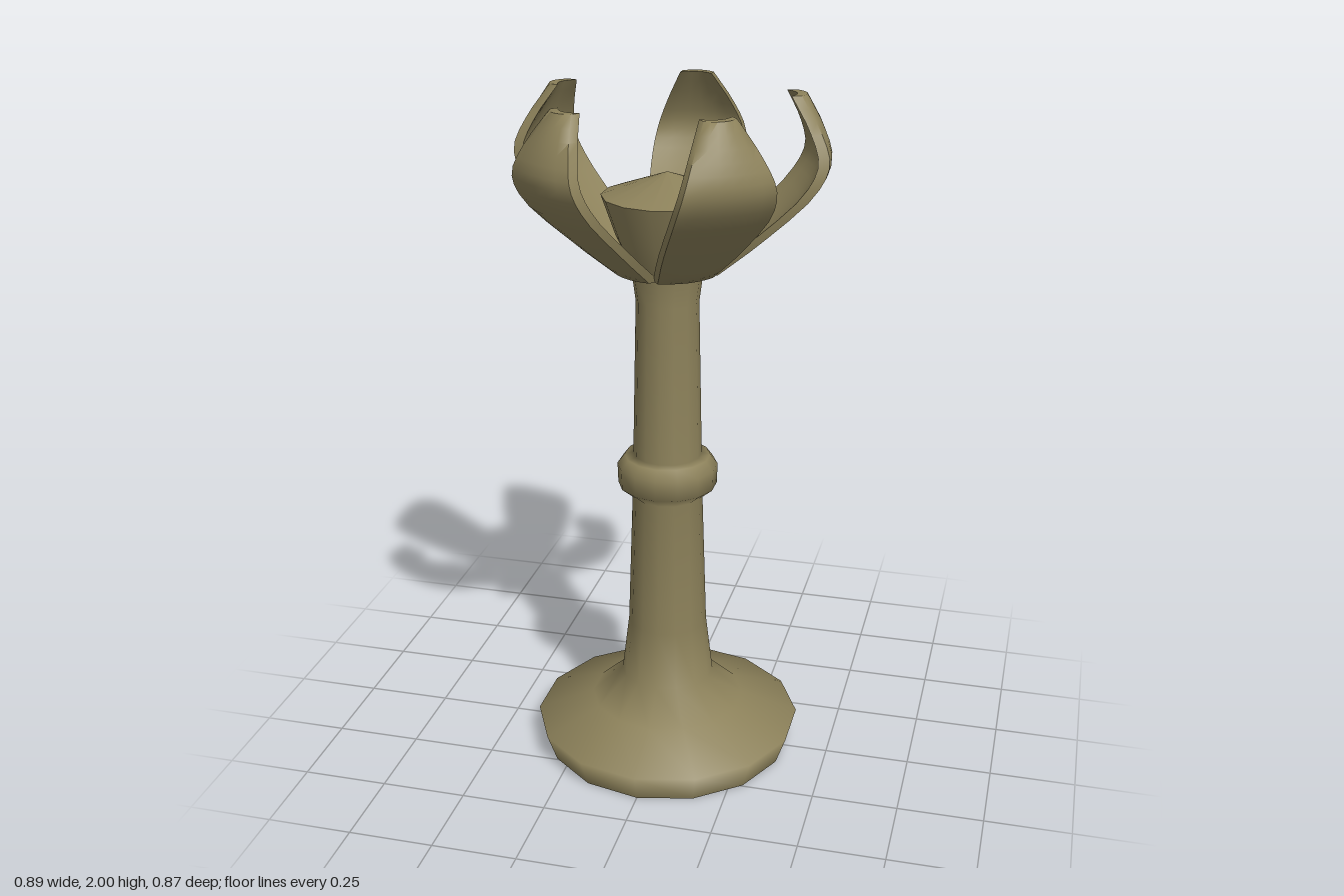
import * as THREE from 'three';
import { toCreasedNormals } from 'three/addons/utils/BufferGeometryUtils.js';

const SIDES = 14;
const bronze = new THREE.MeshStandardMaterial({ color: 0x8c815a });
bronze.name = 'antique bronze';

function turned(name, profile) {
  const points = profile.map(([r, y]) => new THREE.Vector2(r, y));
  const mesh = new THREE.Mesh(new THREE.LatheGeometry(points, SIDES), bronze);
  mesh.name = name;
  return mesh;
}

// Curved petal facing +z: rows rise along the rib, each row is a closed thin arc
function petalGeometry() {
  // half width, height, outer radius
  const rib = new THREE.CatmullRomCurve3([
    [0.082, 1.515, 0.155], [0.115, 1.62, 0.278], [0.137, 1.755, 0.415],
    [0.128, 1.83, 0.449], [0.095, 1.91, 0.428], [0.046, 2.0, 0.38],
  ].map(p => new THREE.Vector3(...p)));
  const rows = 14, cols = 7, ring = cols * 2, sag = 0.022;
  const positions = [], index = [];
  const quad = (a, b, c, d) => index.push(a, b, c, a, c, d);

  for (let i = 0; i <= rows; i++) {
    const p = rib.getPoint(i / rows);
    const thick = 0.036 - 0.008 * i / rows;
    for (let j = 0; j < ring; j++) {
      const outer = j < cols;
      const k = outer ? j : ring - 1 - j;
      const s = -1 + 2 * k / (cols - 1);
      positions.push(s * p.x, p.y, p.z - sag * s * s - (outer ? 0 : thick));
    }
  }
  for (let i = 0; i < rows; i++) {
    for (let j = 0; j < ring; j++) {
      const a = i * ring, n = (j + 1) % ring;
      quad(a + j, a + n, a + ring + n, a + ring + j);
    }
  }
  // Cut ends at the foot and tip
  const top = rows * ring;
  for (let k = 0; k < cols - 1; k++) {
    const back = ring - 1 - k;
    quad(top + k, top + k + 1, top + back - 1, top + back);
    quad(back, back - 1, k + 1, k);
  }
  const geometry = new THREE.BufferGeometry();
  geometry.setAttribute('position', new THREE.Float32BufferAttribute(positions, 3));
  geometry.setIndex(index);
  return toCreasedNormals(geometry, 1.0);
}

export function createModel() {
  const model = new THREE.Group();
  model.name = 'flowerStand';
  const body = new THREE.Group();
  body.name = 'body';
  body.position.z = 0.015;
  model.add(body);

  // Foot and stem with the collar
  body.add(turned('footUnderside', [[0, 0], [0.37, 0]]));
  body.add(turned('stem', [
    [0.37, 0], [0.4, 0.085], [0.23, 0.15], [0.138, 0.235], [0.117, 0.41],
    [0.103, 0.825], [0.145, 0.86], [0.147, 0.92], [0.125, 0.95], [0.1, 0.955],
    [0.09, 1.42], [0.103, 1.52],
  ]));

  // Flower centre: bowl with a low conical lid
  body.add(turned('bowl', [[0.103, 1.52], [0.145, 1.61], [0.185, 1.725]]));
  body.add(turned('lid', [[0.185, 1.725], [0, 1.79]]));

  // Five petals, one at the back
  const geometry = petalGeometry();
  for (let i = 0; i < 5; i++) {
    const petal = new THREE.Mesh(geometry, bronze);
    petal.name = 'petal' + (i + 1);
    petal.rotation.y = Math.PI + i * Math.PI * 2 / 5;
    body.add(petal);
  }
  return model;
}
